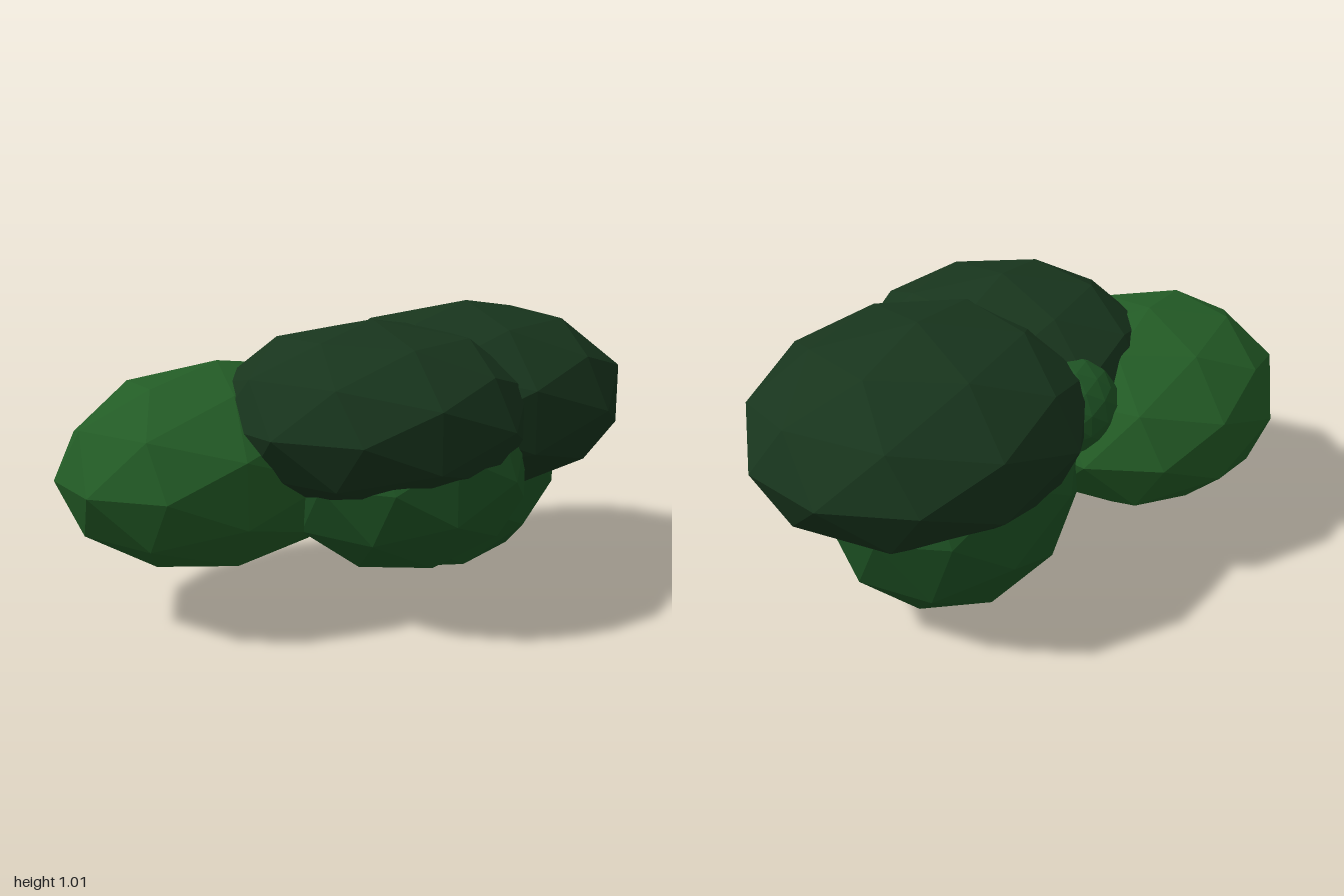
import * as THREE from 'three';

const LIGHT = 0x235c26, MEDIUM = 0x1f5525, DARK = 0x18351d;

// Faceted leaf clump: a low-poly sphere stretched along each axis
function clump(name, color, center, radii, detail = 1) {
  const geometry = new THREE.IcosahedronGeometry(1, detail);
  geometry.scale(...radii);
  const material = new THREE.MeshStandardMaterial({ color, flatShading: true });
  const mesh = new THREE.Mesh(geometry, material);
  mesh.name = name;
  mesh.position.set(...center);
  return mesh;
}

export function createModel() {
  const bush = new THREE.Group();
  bush.name = 'bush';
  bush.add(
    // Large dark clumps on top
    clump('upperLeftClump', DARK, [0.365, 0.67, 0.207], [0.635, 0.338, 0.563]),
    clump('upperRightClump', DARK, [-0.155, 0.68, 0.16], [0.53, 0.31, 0.54]),
    // Bright clump at the back
    clump('backClump', LIGHT, [-0.405, 0.5, -0.3], [0.595, 0.345, 0.475]),
    // Lower clumps that carry the top ones
    clump('lowerLeftClump', MEDIUM, [0.33, 0.48, 0.115], [0.51, 0.48, 0.43]),
    clump('lowerRightClump', MEDIUM, [-0.105, 0.51, 0.23], [0.43, 0.36, 0.45]),
    // Small tuft filling the gap behind
    clump('backTuft', MEDIUM, [0.06, 0.65, -0.18], [0.16, 0.19, 0.185], 2)
  );
  return bush;
}
